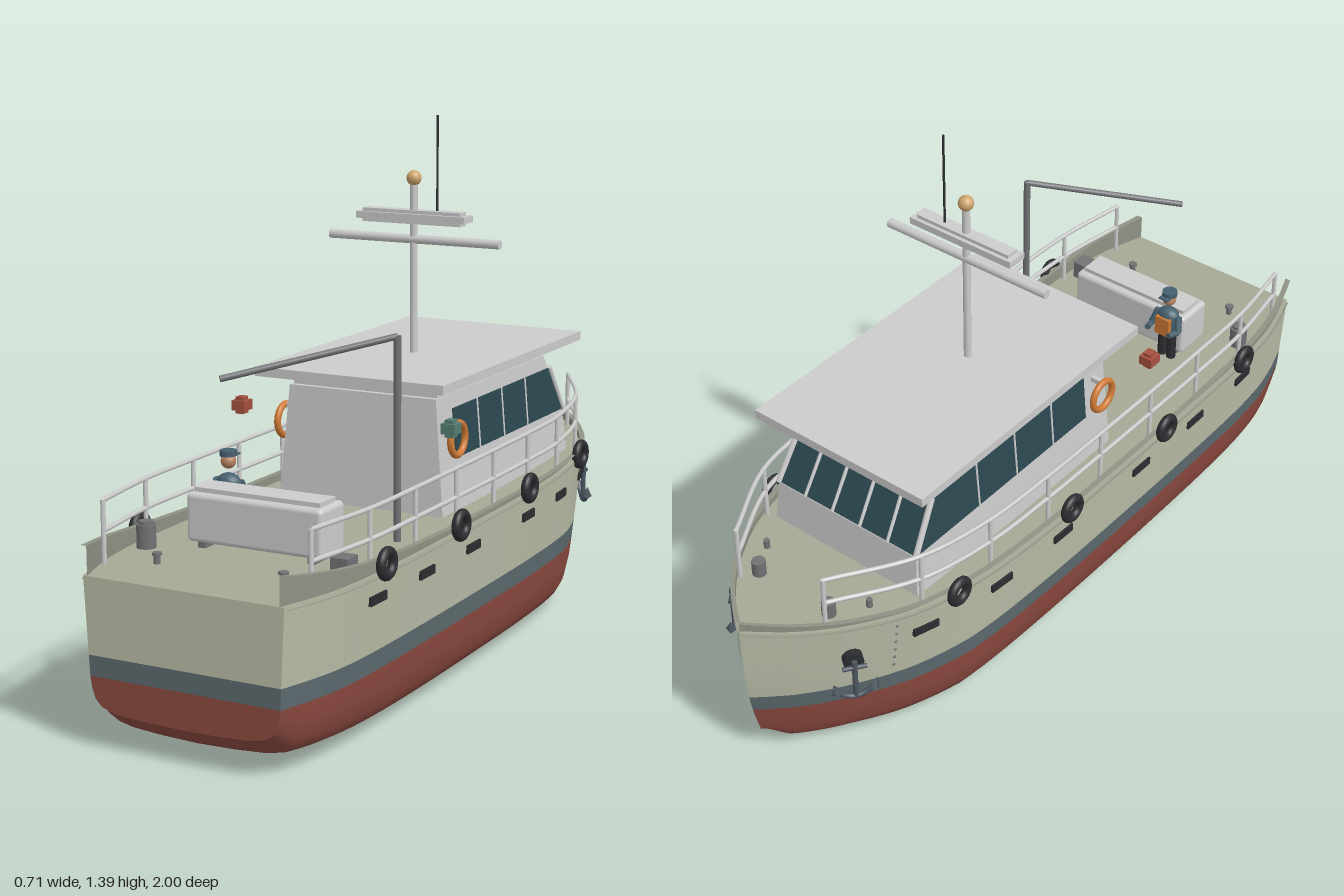
import * as THREE from 'three';
import { RoundedBoxGeometry } from 'three/addons/geometries/RoundedBoxGeometry.js';

const V = (x, y, z) => new THREE.Vector3(x, y, z);
const mat = (color, side = THREE.FrontSide) => new THREE.MeshStandardMaterial({ color, side });
const M = {
  cream: mat(0xb9bca6), red: mat(0x8c4a40), band: mat(0x5c6a6e), deck: mat(0xa6a994), trim: mat(0x8f9284, THREE.DoubleSide),
  grey: mat(0xcccccc), steel: mat(0x707274), dark: mat(0x2b2d30), glass: mat(0x2c474f), orange: mat(0xd07a35),
  brass: mat(0xcfa76f), port: mat(0xa5503f), star: mat(0x557f74), cloth: mat(0x46606e), skin: mat(0xb98562), iron: mat(0x4d5660),
};

// Hull lines: half beam along z (bow at -z), keel and sheer heights
const stations = new THREE.SplineCurve([
  [-1, 0.003], [-0.96, 0.055], [-0.9, 0.12], [-0.8, 0.198], [-0.65, 0.274], [-0.45, 0.314], [-0.2, 0.329], [0.1, 0.333],
  [0.4, 0.333], [0.65, 0.329], [0.8, 0.318], [0.9, 0.298], [1, 0.266],
].map(p => new THREE.Vector2(...p))).getPoints(60);
function beam(z) {
  const i = Math.min(Math.max(stations.findIndex(p => p.x >= z), 1), stations.length - 1);
  const a = stations[i - 1], b = stations[i];
  return THREE.MathUtils.lerp(a.y, b.y, THREE.MathUtils.clamp((z - a.x) / (b.x - a.x), 0, 1));
}
const keel = z => 0.04 * z ** 4 + 0.045 * THREE.MathUtils.smoothstep(Math.abs(z), 0.93, 1);
const sheer = z => 0.412 + 0.04 * Math.max(0, -z) ** 2;
const railTop = z => 0.433 + 0.05 * Math.abs(z) ** 3;
const bowness = z => Math.max(0, -z - 0.5) / 0.5;
const fullness = (z, y, p) => beam(z) * p * (1 - 0.3 * bowness(z) * (1 - y / 0.45));
const halfWidth = (z, y) => fullness(z, y, 0.95 + 0.05 * (y - 0.175) / 0.25);
const rake = (z, y) => z + 0.07 * bowness(z) ** 2 * Math.max(0, 1 - y / 0.35) ** 2;

// Surface from a grid of points f(i, j)
function grid(f, ni, nj, flip) {
  const pos = [], idx = [];
  for (let i = 0; i < ni; i++) for (let j = 0; j < nj; j++) pos.push(...f(i, j));
  for (let i = 0; i < ni - 1; i++) for (let j = 0; j < nj - 1; j++) {
    const a = i * nj + j, b = a + 1, c = a + nj, d = c + 1;
    idx.push(...(flip ? [a, c, b, b, c, d] : [a, b, c, b, d, c]));
  }
  const g = new THREE.BufferGeometry();
  g.setAttribute('position', new THREE.Float32BufferAttribute(pos, 3));
  g.setIndex(idx);
  g.computeVertexNormals();
  return g;
}

// Box whose bottom and top outlines differ: [halfWidth, zBack, zFront]
function taperBox(y0, y1, bottom, top) {
  const g = new THREE.BoxGeometry(1, 1, 1), p = g.attributes.position;
  for (let i = 0; i < p.count; i++) {
    const up = p.getY(i) > 0, [w, zb, zf] = up ? top : bottom;
    p.setXYZ(i, Math.sign(p.getX(i)) * w, up ? y1 : y0, p.getZ(i) > 0 ? zb : zf);
  }
  g.computeVertexNormals();
  return g;
}

export function createModel() {
  const root = new THREE.Group();
  const add = (name, geo, m, x = 0, y = 0, z = 0, parent = root) => {
    const mesh = new THREE.Mesh(geo, m);
    mesh.name = name;
    mesh.position.set(x, y, z);
    parent.add(mesh);
    return mesh;
  };
  const box = (name, w, h, d, m, x, y, z, parent) => add(name, new THREE.BoxGeometry(w, h, d), m, x, y, z, parent);
  const cyl = (name, r, h, m, x, y, z, parent) => add(name, new THREE.CylinderGeometry(r, r, h, 16), m, x, y, z, parent);
  const rod = (name, a, b, r, m, parent) => {
    const mesh = cyl(name, r, a.distanceTo(b), m, 0, 0, 0, parent);
    mesh.position.copy(a).lerp(b, 0.5);
    mesh.quaternion.setFromUnitVectors(V(0, 1, 0), b.clone().sub(a).normalize());
    return mesh;
  };

  // Hull in three painted bands, both sides plus transom
  const bilge = [[0, 0], [0.02, 0.35], [0.06, 0.62], [0.12, 0.75], [0.22, 0.84], [0.4, 0.9], [0.7, 0.935], [1, 0.95]];
  const upper = (lo, hi, n) => [n + 1, (z, j) => {
    const y = lo + ((hi ?? sheer(z)) - lo) * j / n;
    return [halfWidth(z, y), y];
  }];
  const bands = {
    bottomPaint: [M.red, bilge.length, (z, j) => {
      const [s, p] = bilge[j], y = keel(z) + (0.175 - keel(z)) * s;
      return [fullness(z, y, p), y];
    }],
    waterlineBand: [M.band, ...upper(0.175, 0.225, 2)],
    topsides: [M.cream, ...upper(0.225, null, 6)],
  };
  const n = stations.length;
  for (const [name, [m, rows, f]] of Object.entries(bands)) {
    for (const s of [1, -1]) add(name, grid((i, j) => {
      const z = stations[i].x, [w, y] = f(z, j);
      return [s * w, y, rake(z, y)];
    }, n, rows, s < 0), m);
    add(name + 'Transom', grid((i, j) => {
      const [w, y] = f(1, i);
      return [(j ? 1 : -1) * w, y, 1];
    }, rows, 2), m);
  }
  add('deck', grid((i, j) => {
    const z = stations[i].x;
    return [(j - 2) / 2 * halfWidth(z, sheer(z)), sheer(z), z];
  }, n, 5, true), M.deck);

  // Bulwark strip standing on the sheer
  for (const s of [1, -1]) add('bulwark', grid((i, j) => {
    const z = stations[i].x, b = beam(z) + 0.004;
    const x = j === 1 || j === 2 ? Math.max(0, b - 0.016) : b;
    return [s * x, j === 0 || j === 1 ? sheer(z) - 0.008 : railTop(z), z];
  }, n, 5, s < 0).toNonIndexed(), M.trim).geometry.computeVertexNormals();

  // Wheelhouse with raked windscreen, wraparound glass, mullions and roof
  add('cabinBase', taperBox(0.4, 0.54, [0.237, 0.167, -0.625], [0.225, 0.162, -0.612]), M.grey);
  add('cabinTop', taperBox(0.54, 0.71, [0.225, 0.162, -0.612], [0.21, 0.155, -0.51]), M.grey);
  add('cabinCap', taperBox(0.71, 0.722, [0.206, 0.14, -0.515], [0.206, 0.14, -0.515]), M.grey);
  box('roofSupport', 0.36, 0.03, 0.56, M.grey, 0, 0.73, -0.18);
  box('roof', 0.536, 0.024, 0.865, M.grey, 0, 0.752, -0.2);
  add('windows', taperBox(0.545, 0.672, [0.2275, 0.07, -0.613], [0.2165, 0.07, -0.537]), M.glass);
  for (const s of [1, -1]) for (const z of [-0.07, -0.22, -0.37])
    rod('sideMullion', V(s * 0.2275, 0.543, z), V(s * 0.2165, 0.674, z), 0.003, M.grey);
  for (let i = 0; i < 6; i++) {
    const t = i / 2.5 - 1;
    rod('frontMullion', V(t * 0.225, 0.543, -0.613), V(t * 0.215, 0.674, -0.537), i % 5 ? 0.005 : 0.008, M.grey);
  }

  // Mast, radar bar, lamp and whip aerial
  const mz = -0.135;
  cyl('mast', 0.01, 0.45, M.grey, 0, 0.985, mz);
  rod('crossbar', V(-0.248, 1.065, mz), V(0.248, 1.065, mz), 0.012, M.grey);
  box('radarBar', 0.315, 0.018, 0.055, M.grey, 0, 1.124, mz);
  box('radarCore', 0.285, 0.036, 0.035, M.grey, 0, 1.124, mz);
  add('mastLamp', new THREE.SphereGeometry(0.02, 20, 14), M.brass, 0, 1.225, mz);
  cyl('aerial', 0.003, 0.25, M.dark, 0.068, 1.265, mz);

  // Derrick
  rod('derrickPost', V(0.235, 0.41, 0.41), V(0.235, 0.915, 0.41), 0.009, M.steel);
  rod('derrickBoom', V(0.235, 0.913, 0.41), V(-0.085, 0.83, 0.69), 0.008, M.steel);

  // Bench locker on the aft deck
  add('locker', new RoundedBoxGeometry(0.37, 0.12, 0.115, 3, 0.012), M.grey, 0, 0.487, 0.635);
  box('lockerLid', 0.34, 0.016, 0.075, M.grey, 0, 0.55, 0.635);
  for (const x of [-0.15, 0.15]) box('lockerFoot', 0.02, 0.03, 0.09, M.steel, x, 0.42, 0.635);

  // Crewman facing the bow
  const crew = new THREE.Group();
  crew.name = 'crewman';
  crew.position.set(-0.14, 0.41, 0.57);
  root.add(crew);
  for (const s of [1, -1]) {
    cyl('leg', 0.013, 0.09, M.dark, s * 0.015, 0.045, 0, crew);
    rod('upperArm', V(s * 0.033, 0.145, 0), V(s * 0.043, 0.105, -0.015), 0.01, M.cloth, crew);
    rod('forearm', V(s * 0.043, 0.105, -0.015), V(s * 0.035, 0.11, -0.05), 0.008, M.cloth, crew);
  }
  add('torso', new THREE.CapsuleGeometry(0.026, 0.04, 6, 16), M.cloth, 0, 0.118, 0, crew).scale.x = 1.25;
  box('vest', 0.045, 0.055, 0.015, M.orange, 0, 0.115, -0.024, crew);
  add('head', new THREE.SphereGeometry(0.019, 16, 12), M.skin, 0, 0.193, 0, crew);
  cyl('cap', 0.021, 0.014, M.cloth, 0, 0.213, 0, crew);
  box('capPeak', 0.03, 0.004, 0.02, M.cloth, 0, 0.207, -0.022, crew);

  // Fittings repeated on both sides
  for (const s of [1, -1]) {
    // Guard rails following the deck edge
    const railPoint = (z, h) => V(s * (beam(z) - 0.022), h + 0.028 * Math.max(0, (-z - 0.4) / 0.45), z);
    const zs = Array.from({ length: 9 }, (_, i) => 0.9 - i * 0.21875);
    for (const [name, h] of [['topRail', 0.565], ['midRail', 0.492]]) {
      const curve = new THREE.CatmullRomCurve3(zs.map(z => railPoint(z, h)));
      add(name, new THREE.TubeGeometry(curve, 60, 0.006, 8), M.grey);
    }
    for (const z of zs) rod('railPost', V(s * (beam(z) - 0.022), 0.41, z), railPoint(z, 0.566), 0.006, M.grey);

    // Tyre fenders
    for (const z of [0.66, 0.28, -0.135, -0.55]) {
      const t = add('fender', new THREE.TorusGeometry(0.029, 0.012, 12, 28), M.dark, s * (beam(z) + 0.01), 0.434, z);
      t.rotation.y = Math.PI / 2;
    }
    // Scuppers
    for (const z of [0.68, 0.44, 0.185, -0.155, -0.395, -0.635]) {
      const slope = Math.atan((beam(z + 0.03) - beam(z - 0.03)) / 0.06);
      box('scupper', 0.012, 0.022, 0.073, M.dark, s * halfWidth(z, 0.355), 0.355, z).rotation.y = s * slope;
    }
    // Draft studs
    for (let i = 0; i < 6; i++) {
      const y = 0.26 + i * 0.028;
      add('draftStud', new THREE.SphereGeometry(0.004, 8, 6), M.steel, s * halfWidth(-0.71, y), y, -0.71);
    }
    // Anchor hung from its hawse pad, local x pointing outboard
    const anchor = new THREE.Group();
    anchor.name = 'anchor';
    anchor.position.set(s * (halfWidth(-0.81, 0.33) + 0.012), 0.29, -0.815);
    anchor.rotation.y = s > 0 ? 0.62 : Math.PI - 0.62;
    root.add(anchor);
    cyl('hawsePad', 0.026, 0.03, M.dark, -0.002, 0.045, 0, anchor).rotation.z = Math.PI / 2;
    rod('shank', V(0.018, 0.055, 0), V(0.018, -0.06, 0), 0.007, M.iron, anchor);
    rod('stock', V(0.018, 0.035, -0.03), V(0.018, 0.035, 0.03), 0.006, M.iron, anchor);
    const arms = add('arms', new THREE.TorusGeometry(0.052, 0.007, 8, 20, 2.2), M.iron, 0.018, -0.008, 0, anchor);
    arms.rotation.set(0, Math.PI / 2, Math.PI + 0.47, 'YXZ');
    for (const k of [1, -1]) {
      const fluke = add('fluke', new THREE.ConeGeometry(0.015, 0.032, 4), M.iron, 0.018, -0.025, k * 0.05, anchor);
      fluke.rotation.x = k * 0.3;
    }
    // Life ring on the cabin side
    const ring = add('lifeRing', new THREE.TorusGeometry(0.041, 0.009, 12, 32), M.orange, s * 0.25, 0.605, 0.11);
    ring.rotation.y = Math.PI / 2;
    box('ringBracket', 0.035, 0.014, 0.014, M.grey, s * 0.232, 0.645, 0.11);
    // Sidelights
    const lamp = s > 0 ? M.star : M.port;
    box('sidelight', 0.038, 0.026, 0.04, lamp, s * 0.298, 0.665, 0.248);
    box('sidelightCore', 0.022, 0.044, 0.026, lamp, s * 0.298, 0.665, 0.248);
    // Bollards and cleats
    cyl('bowBollard', 0.018, 0.05, M.steel, s * 0.115, 0.455, -0.81);
    cyl('bowCleat', 0.008, 0.03, M.steel, s * 0.17, 0.442, -0.725);
    cyl('sternCleat', 0.008, 0.025, M.steel, s * 0.17, 0.422, 0.84);
    cyl('sternCleatHead', 0.012, 0.006, M.steel, s * 0.17, 0.436, 0.84);
  }
  cyl('drum', 0.024, 0.06, M.steel, -0.27, 0.44, 0.735);
  cyl('drumLid', 0.018, 0.01, M.steel, -0.27, 0.473, 0.735);
  box('deckBox', 0.045, 0.05, 0.05, M.steel, 0.268, 0.437, 0.735);
  return root;
}
